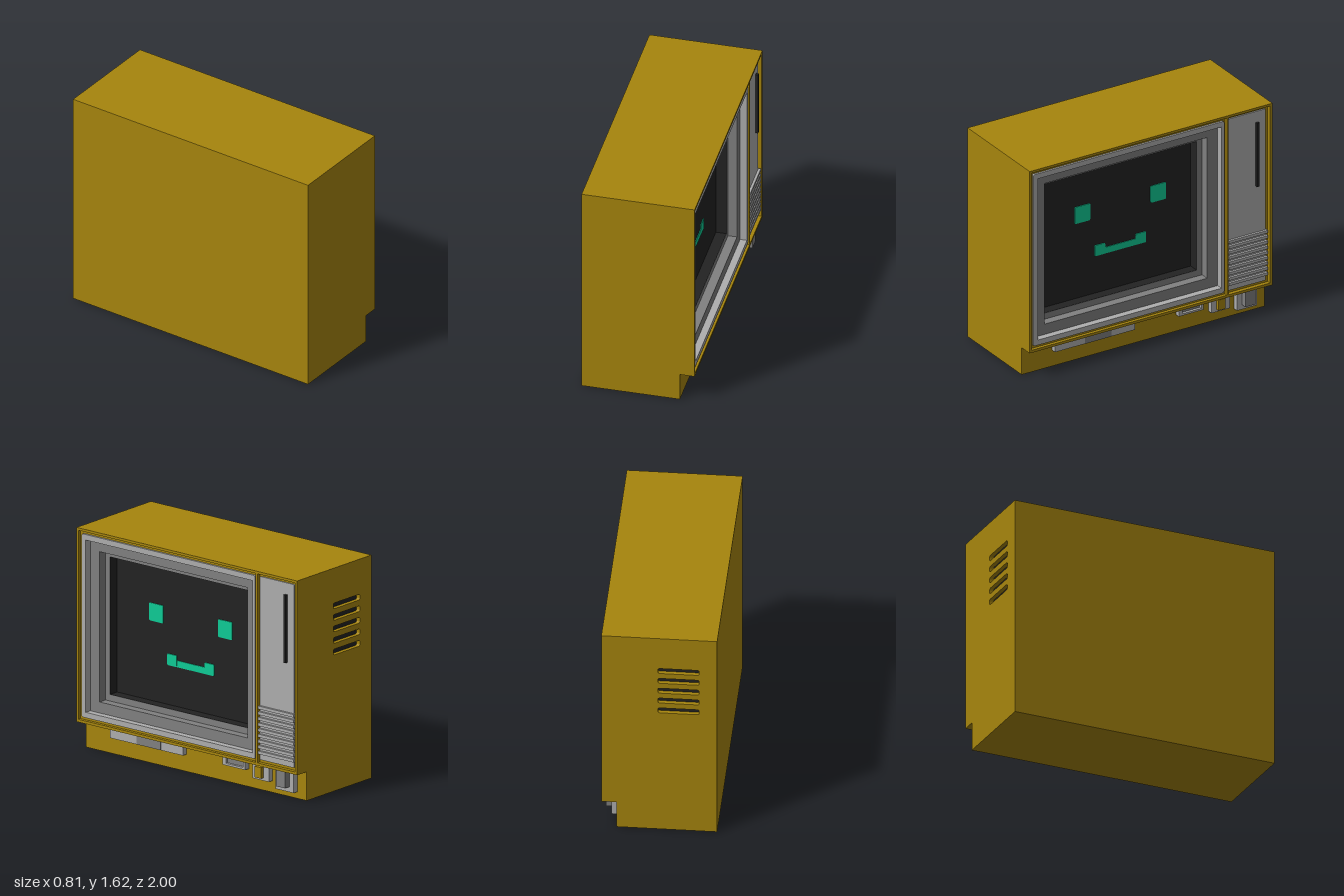
import * as THREE from 'three';

const mat = (name, color) => {
  const m = new THREE.MeshStandardMaterial({ color });
  m.name = name;
  return m;
};

export function createModel() {
  const ochre = mat('ochre casing', 0xa6850d);
  const light = mat('light grey trim', 0xaeaeae);
  const grey = mat('mid grey trim', 0x808080);
  const black = mat('screen black', 0x222222);
  const green = mat('glowing green', 0x0ecb95);
  const tv = new THREE.Group();
  tv.name = 'television';
  const FRONT = 0.405, CORE = 0.2;

  const add = (name, geometry, material) => {
    const mesh = new THREE.Mesh(geometry, material);
    mesh.name = name;
    tv.add(mesh);
    return mesh;
  };
  const box = (name, m, x0, x1, y0, y1, z0, z1) =>
    add(name, new THREE.BoxGeometry(x1 - x0, y1 - y0, z1 - z0)
      .translate((x0 + x1) / 2, (y0 + y1) / 2, (z0 + z1) / 2), m);

  // Rectangle outline [u0, u1, y0, y1] with optional rounded corners
  const rect = (path, [u0, u1, y0, y1], r = 0) => {
    if (!r) {
      path.moveTo(u0, y0).lineTo(u1, y0).lineTo(u1, y1).lineTo(u0, y1).closePath();
      return path;
    }
    path.moveTo(u0 + r, y0).lineTo(u1 - r, y0).quadraticCurveTo(u1, y0, u1, y0 + r);
    path.lineTo(u1, y1 - r).quadraticCurveTo(u1, y1, u1 - r, y1);
    path.lineTo(u0 + r, y1).quadraticCurveTo(u0, y1, u0, y1 - r);
    path.lineTo(u0, y0 + r).quadraticCurveTo(u0, y0, u0 + r, y0);
    return path;
  };
  // Panel facing +x, where u = -z, spanning x0..x1
  const panel = (name, m, shape, x0, x1) =>
    add(name, new THREE.ExtrudeGeometry(shape, { depth: x1 - x0, bevelEnabled: false, curveSegments: 4 })
      .rotateY(Math.PI / 2).translate(x0, 0, 0), m);
  const plate = (name, m, r, x0, x1, holes = [], radius = 0) => {
    const shape = rect(new THREE.Shape(), r, radius);
    holes.forEach(h => shape.holes.push(rect(new THREE.Path(), h)));
    return panel(name, m, shape, x0, x1);
  };

  // Casing: rear core, stepped base and front frame
  box('rearCasing', ochre, -FRONT, CORE, 0, 1.625, -0.965, 1);
  box('base', ochre, CORE, 0.3, 0, 0.21, -1, 1);
  const screenBay = [-0.984, 0.625, 0.23, 1.607];
  const panelBay = [0.64, 0.98, 0.23, 1.607];
  plate('frontFrame', ochre, [-1, 1, 0.21, 1.625], CORE, FRONT, [screenBay, panelBay]);

  // Side wall with five rounded vent slots
  const wall = rect(new THREE.Shape(), [-FRONT, CORE, 0, 1.625]);
  for (let i = 0; i < 5; i++) {
    const top = 1.37 - i * 0.084;
    wall.holes.push(rect(new THREE.Path(), [-0.28, 0.01, top - 0.042, top], 0.015));
  }
  add('ventedWall', new THREE.ExtrudeGeometry(wall, { depth: 0.035, bevelEnabled: false, curveSegments: 4 })
    .translate(0, 0, -1), ochre);
  box('ventBacking', black, -0.3, 0.03, 0.97, 1.39, -0.969, -0.964);

  // Nested bezel steps leading down to the screen
  const bezel = [-0.963, 0.61, 0.25, 1.585];
  const step1 = [-0.925, 0.587, 0.29, 1.545];
  const step2 = [-0.84, 0.5, 0.37, 1.465];
  const opening = [-0.8, 0.455, 0.417, 1.42];
  plate('bezelGroove', ochre, screenBay, CORE, FRONT - 0.025, [bezel]);
  plate('outerBezel', light, bezel, CORE, FRONT - 0.01, [step1], 0.015);
  plate('middleBezel', grey, step1, CORE, FRONT - 0.06, [step2]);
  plate('innerBezel', grey, step2, CORE, FRONT - 0.125, [opening]);
  const lining = [-0.799, 0.454, 0.418, 1.419];
  plate('screenLining', black, opening, CORE, FRONT - 0.126, [lining]);
  plate('screen', black, opening, CORE - 0.004, CORE + 0.004);

  // Face shown on the screen
  const glow = CORE + 0.004;
  for (const u of [-0.505, 0.12]) plate('eye', green, [u, u + 0.128, 1.0, 1.13], glow, glow + 0.006, [], 0.012);
  for (const u of [-0.34, -0.003]) plate('mouthCorner', green, [u, u + 0.086, 0.706, 0.79], glow, glow + 0.006, [], 0.01);
  plate('mouth', green, [-0.3, 0.04, 0.706, 0.754], glow, glow + 0.005);

  // Control panel with tuning strip and speaker slats
  const face = FRONT - 0.02;
  plate('panelGroove', ochre, panelBay, CORE, FRONT - 0.03);
  plate('controlPanel', light, [0.645, 0.957, 0.25, 1.585], CORE, face, [], 0.01);
  plate('tuningStrip', black, [0.875, 0.895, 1.005, 1.5], face, FRONT);
  for (let i = 0; i < 9; i++) {
    const y = 0.295 + i * 0.041;
    plate('speakerSlat', light, [0.645, 0.965, y, y + 0.022], face - 0.01, FRONT - 0.002);
  }

  // Controls tucked beneath the frame
  plate('slotHousing', light, [-0.75, -0.09, 0.125, 0.21], 0.29, 0.34);
  plate('slotCentre', grey, [-0.505, -0.29, 0.127, 0.21], 0.33, 0.345);
  plate('socketFrame', light, [0.27, 0.475, 0.13, 0.21], 0.29, 0.34, [[0.3, 0.455, 0.145, 0.19]]);
  plate('socket', grey, [0.3, 0.455, 0.145, 0.19], 0.29, 0.32);
  plate('buttonFrame', light, [0.54, 0.69, 0.085, 0.21], 0.29, 0.34);
  plate('button', ochre, [0.58, 0.64, 0.105, 0.185], 0.33, 0.365);
  plate('switchPlate', light, [0.75, 0.915, 0.048, 0.21], 0.29, 0.34);
  plate('switchKnob', grey, [0.79, 0.875, 0.085, 0.21], 0.33, 0.385);

  return tv;
}
